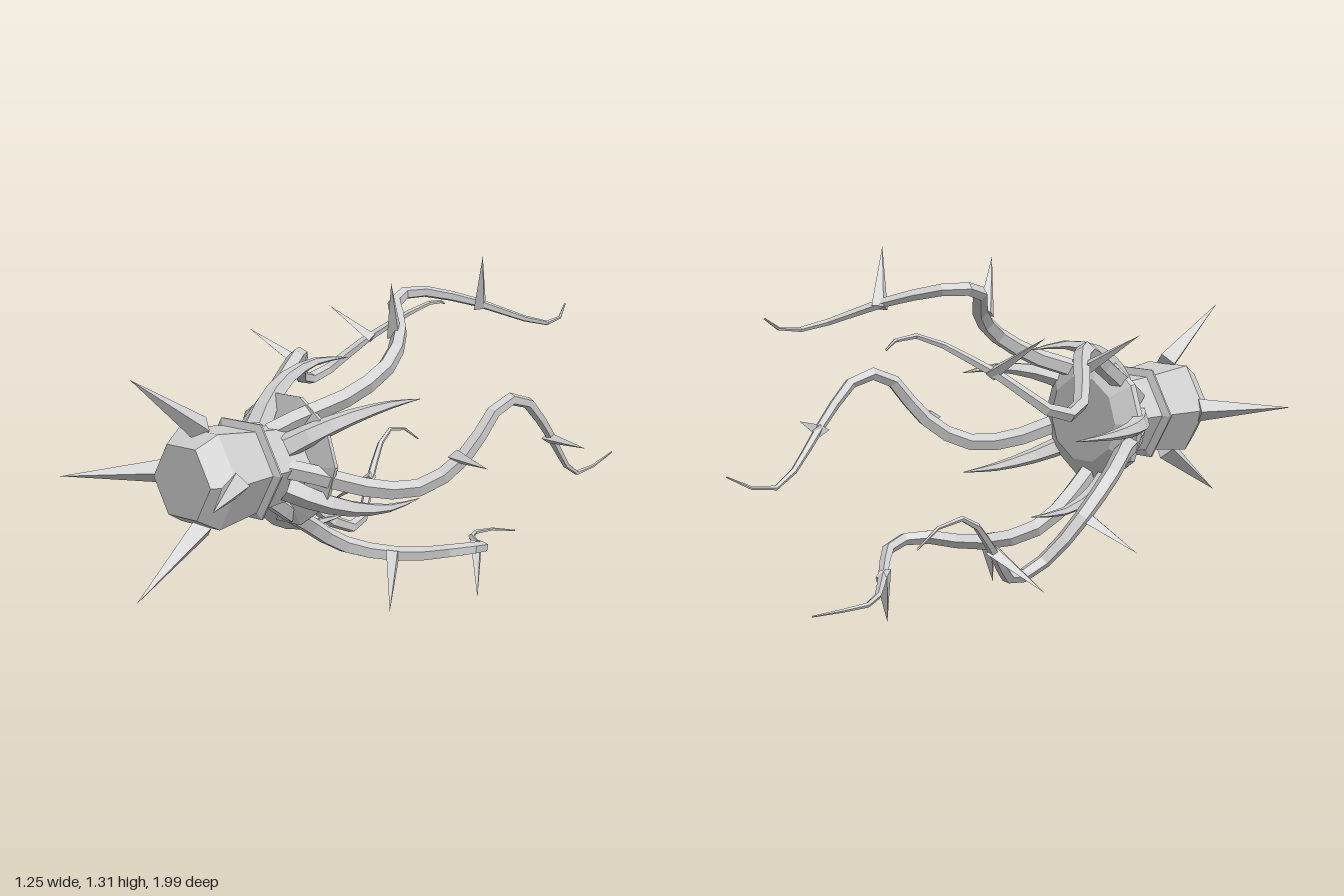
import * as THREE from 'three';

const V = (x, y, z) => new THREE.Vector3(x, y, z);

// tube whose radius shrinks from r0 to r1 along the path
function taperedTube(points, segments, sides, r0, r1, power) {
  const curve = new THREE.CatmullRomCurve3(points);
  const geo = new THREE.TubeGeometry(curve, segments, 1, sides);
  const pos = geo.attributes.position;
  const p = new THREE.Vector3();
  for (let i = 0; i <= segments; i++) {
    const t = i / segments;
    const c = curve.getPointAt(t);
    const r = r0 + (r1 - r0) * Math.pow(t, power);
    for (let j = 0; j <= sides; j++) {
      const k = i * (sides + 1) + j;
      p.fromBufferAttribute(pos, k).sub(c).multiplyScalar(r).add(c);
      pos.setXYZ(k, p.x, p.y, p.z);
    }
  }
  return geo;
}

// four-sided spike in the xz plane, ridges facing front and back
function spike(x0, z0, x1, z1, radius, width) {
  const length = Math.hypot(x1 - x0, z1 - z0);
  return new THREE.ConeGeometry(radius, length, 4)
    .translate(0, length / 2, 0)
    .rotateZ(-Math.PI / 2)
    .scale(1, width / radius, 1)
    .rotateY(-Math.atan2(z1 - z0, x1 - x0))
    .translate(x0, 0, z0);
}

// turned profile of [radius, z] pairs around the z axis
function turned(profile, sides) {
  const pts = profile.map(([r, z]) => new THREE.Vector2(r, z));
  return new THREE.LatheGeometry(pts, sides, Math.PI / 2).rotateX(Math.PI / 2);
}

export function createModel() {
  const model = new THREE.Group();
  const grey = new THREE.MeshStandardMaterial({ color: 0xd0d0d0, flatShading: true });
  grey.name = 'grey';

  // everything is arranged around this axis
  const creature = new THREE.Group();
  creature.name = 'creature';
  creature.position.set(-0.07, 0.66, 0);
  model.add(creature);

  const add = (name, geo, angle = 0) => {
    const mesh = new THREE.Mesh(geo, grey);
    mesh.name = name;
    mesh.rotation.z = angle;
    creature.add(mesh);
  };

  // hexagonal body, collar and rear bulb
  add('body', turned([[0, 0.3], [0.15, 0.3], [0.15, 0.4], [0.16, 0.51], [0.187, 0.71], [0.138, 0.79], [0, 0.79]], 6));
  add('collar', turned([[0.15, 0.495], [0.19, 0.509], [0.19, 0.516], [0.15, 0.53]], 6));
  add('rearBulb', turned([[0, 0.235], [0.16, 0.235], [0.235, 0.285], [0.24, 0.305], [0.14, 0.33]], 10));

  // four spikes around the front
  const frontSpike = spike(0.165, 0.7, 0.37, 1, 0.045, 0.043);
  for (let i = 0; i < 4; i++) add('frontSpike', frontSpike, i * Math.PI / 2);

  // five swirling tentacles with thorns, and five curved fangs between them
  const tentacle = taperedTube([
    V(0.12, 0.0, 0.42), V(0.19, -0.04, 0.3), V(0.25, -0.085, 0.18), V(0.35, -0.105, 0.02),
    V(0.42, -0.04, -0.11), V(0.46, 0.07, -0.21), V(0.475, 0.165, -0.3), V(0.49, 0.17, -0.42),
    V(0.495, 0.02, -0.58), V(0.475, -0.1, -0.7), V(0.465, -0.165, -0.78), V(0.465, -0.17, -0.88),
    V(0.5, -0.115, -0.99),
  ], 18, 5, 0.036, 0.003, 1.7);
  const lowerThorn = spike(0.425, -0.125, 0.63, -0.035, 0.036, 0.024);
  const upperThorn = spike(0.48, -0.6, 0.69, -0.53, 0.034, 0.021);
  const fang = taperedTube([
    V(0.12, 0, 0.4), V(0.21, 0, 0.31), V(0.275, 0, 0.2), V(0.315, 0, 0.04), V(0.31, 0, -0.13),
  ], 7, 5, 0.046, 0.001, 1.2);
  for (let i = 0; i < 5; i++) {
    const angle = i * Math.PI * 2 / 5;
    add('tentacle', tentacle, angle);
    add('lowerThorn', lowerThorn, angle);
    add('upperThorn', upperThorn, angle);
    add('fang', fang, angle + Math.PI / 5);
  }
  return model;
}
